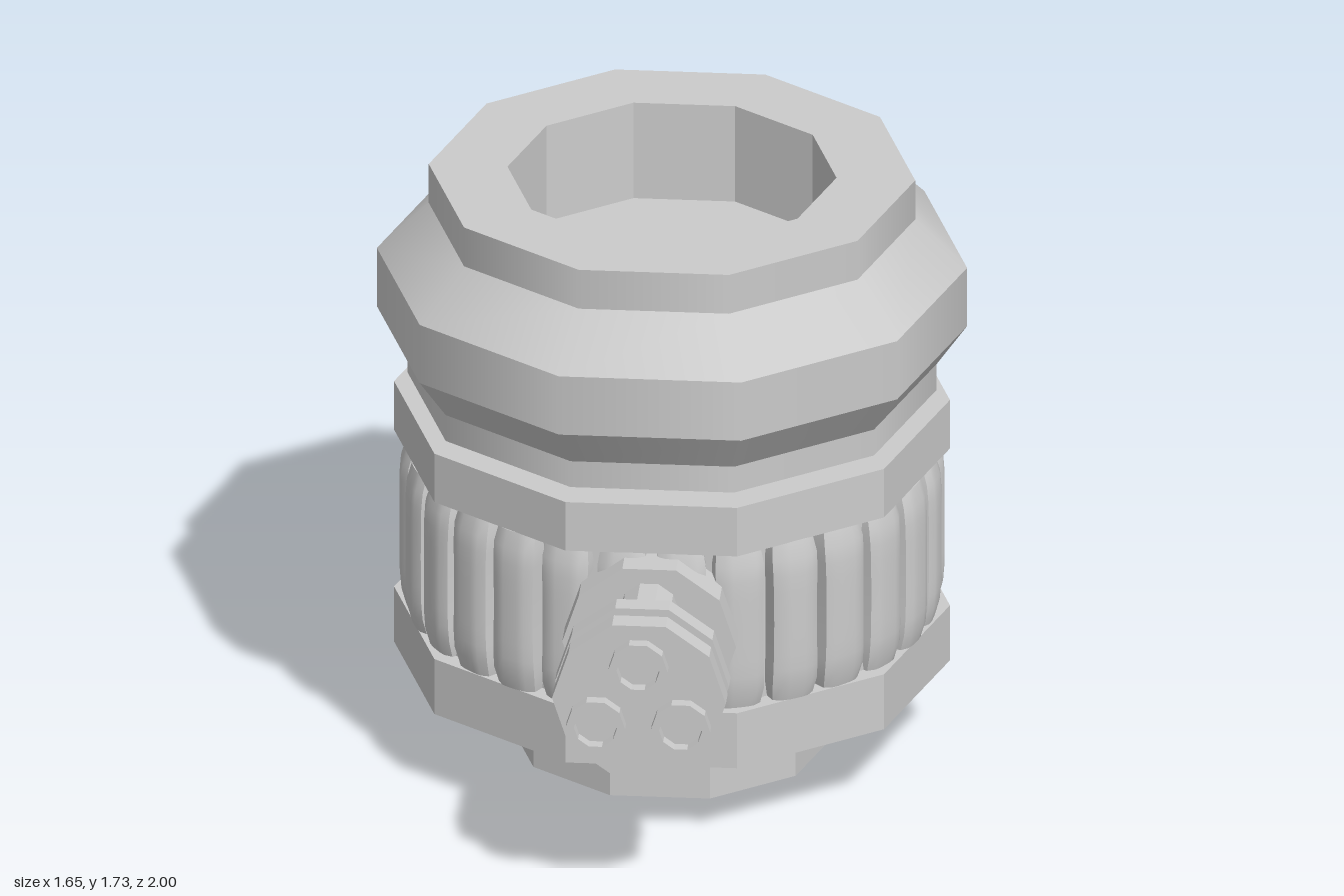
import * as THREE from 'three';

const flat = new THREE.MeshStandardMaterial({ color: 0xcccccc, flatShading: true });
const smooth = new THREE.MeshStandardMaterial({ color: 0xcccccc });
const SIDES = 10;
const START = Math.PI / 2; // puts a corner on the x axis

function add(parent, name, geometry, material = flat) {
  const mesh = new THREE.Mesh(geometry, material);
  mesh.name = name;
  parent.add(mesh);
  return mesh;
}

// Solid ten-sided prism between two heights
function prism(parent, name, r, y0, y1) {
  const g = new THREE.CylinderGeometry(r, r, y1 - y0, SIDES, 1, false, START);
  return add(parent, name, g.translate(0, (y0 + y1) / 2, 0));
}

function lathe(points) {
  return new THREE.LatheGeometry(points.map(([r, y]) => new THREE.Vector2(r, y)), SIDES, START);
}

// Grip rib: a box with a cushioned outer face and rounded ends
function ribGeometry() {
  const w = 0.073, h = 0.243, d = 0.06;
  const g = new THREE.BoxGeometry(2 * w, 2 * h, 2 * d, 6, 10, 2);
  const p = g.attributes.position;
  for (let i = 0; i < p.count; i++) {
    const u = p.getX(i) / w, v = p.getY(i) / h, z = p.getZ(i);
    const outward = (z + d) / (2 * d);
    const waist = 1 - 0.08 * (1 - v * v) - 0.14 * Math.pow(Math.abs(v), 10);
    p.setX(i, u * w * waist);
    p.setZ(i, z - outward * (0.018 * Math.pow(u, 4) + 0.018 * Math.pow(v, 6)));
  }
  g.computeVertexNormals();
  return g;
}

export function createModel() {
  const model = new THREE.Group();
  model.name = 'coupling';
  const body = new THREE.Group();
  body.name = 'body';
  body.position.z = -0.214;
  model.add(body);

  // Foot, flanges, core and neck
  prism(body, 'foot', 0.453, 0, 0.26);
  prism(body, 'lowerFlange', 0.777, 0.245, 0.415);
  prism(body, 'core', 0.72, 0.41, 0.905);
  prism(body, 'upperFlange', 0.777, 0.9, 1.05);
  prism(body, 'neck', 0.453, 1.04, 1.1);

  // Grip ribs around the core
  const grip = new THREE.Group();
  grip.name = 'gripRibs';
  body.add(grip);
  const rib = ribGeometry();
  const count = 28;
  for (let i = 0; i < count; i++) {
    const a = ((i + 0.5) / count) * Math.PI * 2;
    const m = add(grip, 'gripRib', rib, smooth);
    m.position.set(Math.sin(a) * 0.7, 0.6575, Math.cos(a) * 0.7);
    m.rotation.y = a;
  }

  // Collar: smooth stacked bands with a faceted socket in the top
  const collar = new THREE.Group();
  collar.name = 'collar';
  body.add(collar);
  const profile = [[0.74, 1.08], [0.74, 1.16], [0.825, 1.28], [0.825, 1.46], [0.68, 1.605], [0.68, 1.725]];
  for (let i = 0; i < profile.length - 1; i++) {
    const [r0, y0] = profile[i], [r1, y1] = profile[i + 1];
    const g = new THREE.CylinderGeometry(r1, r0, y1 - y0, SIDES, 1, true, START);
    add(collar, 'collarBand', g.translate(0, (y0 + y1) / 2, 0), smooth);
  }
  add(collar, 'collarUnderside', lathe([[0, 1.08], [0.74, 1.08]]));
  add(collar, 'socket', lathe([[0.68, 1.725], [0.46, 1.725], [0.46, 1.43], [0, 1.43]]));

  // Connector: plates on three hollow pipes, built along y and turned to the front
  const connector = new THREE.Group();
  connector.name = 'connector';
  connector.position.y = 0.655;
  connector.rotation.x = Math.PI / 2;
  model.add(connector);
  prism(connector, 'basePlate', 0.243, 0.4, 0.6);
  prism(connector, 'rearClampPlate', 0.243, 0.795, 0.855);
  prism(connector, 'frontClampPlate', 0.243, 0.9, 0.965);
  const pipe = lathe([[0.083, 0.58], [0.083, 1], [0.06, 1], [0.06, 0.95], [0, 0.95]]);
  for (const [x, y] of [[0, 0.108], [0.119, -0.072], [-0.119, -0.072]]) {
    add(connector, 'pipe', pipe).position.set(x, 0, -y);
  }
  return model;
}
